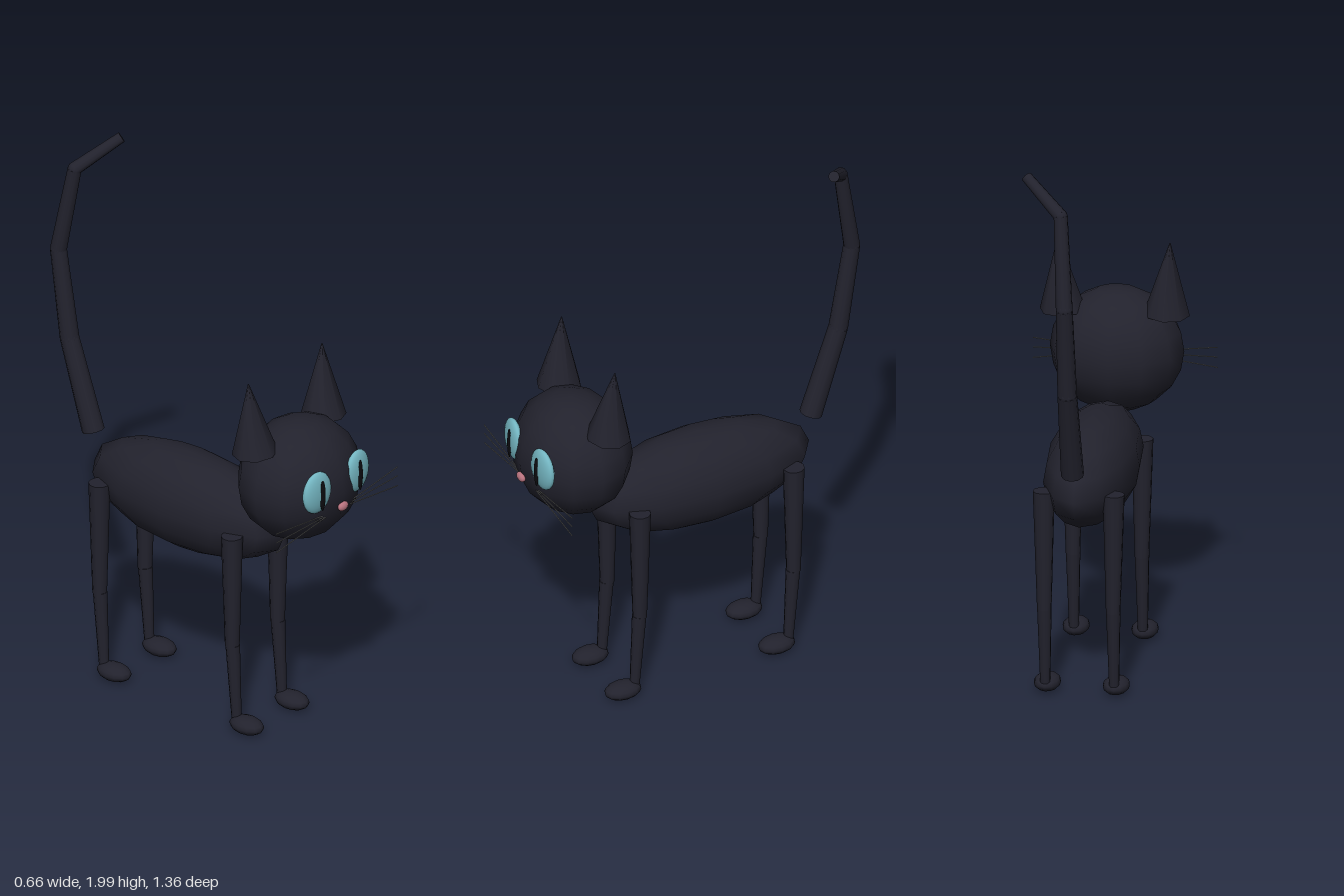
import * as THREE from 'three';

const mat = (name, color) => Object.assign(new THREE.MeshStandardMaterial({ color }), { name });
const V = (x, y, z) => new THREE.Vector3(x, y, z);

export function createModel() {
  const fur = mat('dark fur', 0x22222d);
  const teal = mat('teal iris', 0x74b6c2);
  const black = mat('black pupil', 0x0c0c10);
  const pink = mat('pink nose', 0xb9737f);
  const grey = mat('grey whisker', 0x777777);

  const cat = new THREE.Group();
  cat.name = 'cat';

  function add(name, geometry, material, parent = cat) {
    const mesh = new THREE.Mesh(geometry, material);
    mesh.name = name;
    parent.add(mesh);
    return mesh;
  }

  // Squashed sphere with the given centre and radii
  function ellipsoid(name, material, centre, radii, w = 12, h = 8, parent = cat) {
    const mesh = add(name, new THREE.SphereGeometry(1, w, h), material, parent);
    mesh.position.copy(centre);
    mesh.scale.copy(radii);
    return mesh;
  }

  // Tapered rod running from a to b
  function rod(name, material, a, b, ra, rb, sides = 8, parent = cat) {
    const mesh = add(name, new THREE.CylinderGeometry(rb, ra, a.distanceTo(b), sides), material, parent);
    mesh.position.copy(a).lerp(b, 0.5);
    mesh.quaternion.setFromUnitVectors(V(0, 1, 0), b.clone().sub(a).normalize());
    return mesh;
  }

  // Body and head
  ellipsoid('body', fur, V(0, 0.77, -0.04), V(0.165, 0.185, 0.44));
  ellipsoid('head', fur, V(0, 1.032, 0.465), V(0.24, 0.228, 0.207), 12, 10);
  ellipsoid('nose', pink, V(0, 0.98, 0.668), V(0.025, 0.017, 0.013));

  for (const s of [-1, 1]) {
    const side = s > 0 ? 'left' : 'right';

    // Ear
    rod(side + 'Ear', fur, V(s * 0.186, 1.185, 0.418), V(s * 0.2, 1.455, 0.4), 0.082, 0.002, 8);

    // Eye with slit pupil
    const eye = new THREE.Group();
    eye.name = side + 'Eye';
    eye.position.set(s * 0.109, 1.068, 0.639);
    eye.rotation.y = s * 0.1;
    cat.add(eye);
    ellipsoid('iris', teal, V(0, 0, 0), V(0.066, 0.08, 0.024), 20, 14, eye);
    ellipsoid('pupil', black, V(-s * 0.009, -0.008, 0.021), V(0.013, 0.06, 0.006), 12, 10, eye);

    // Whiskers
    for (const [y0, y1] of [[0.962, 0.992], [0.957, 0.956], [0.952, 0.917]]) {
      rod(side + 'Whisker', grey, V(s * 0.064, y0, 0.642), V(s * 0.33, y1, 0.639), 0.002, 0.002, 5);
    }

    // Legs: thigh, shin and paw
    for (const [label, z] of [['Front', 0.26], ['Hind', -0.353]]) {
      const leg = new THREE.Group();
      leg.name = side + label + 'Leg';
      leg.position.set(s * 0.123, 0, z);
      cat.add(leg);
      rod('upperLeg', fur, V(0, 0.33, 0), V(s * 0.002, 0.77, 0), 0.026, 0.039, 10, leg);
      rod('lowerLeg', fur, V(0, 0.05, 0.02), V(0, 0.335, 0.002), 0.018, 0.026, 10, leg);
      ellipsoid('paw', fur, V(0, 0.038, 0.067), V(0.048, 0.031, 0.07), 12, 8, leg);
    }
  }

  // Tail: tapered bends with rounded joints
  const tail = new THREE.Group();
  tail.name = 'tail';
  cat.add(tail);
  const path = [
    [V(0, 0.882, -0.487), 0.041], [V(0, 1.215, -0.597), 0.035], [V(0.002, 1.55, -0.65), 0.03],
    [V(0.024, 1.88, -0.594), 0.025], [V(0.162, 1.985, -0.494), 0.02],
  ];
  for (let i = 0; i < path.length - 1; i++) {
    const [a, ra] = path[i], [b, rb] = path[i + 1];
    rod('tailSegment', fur, a, b, ra, rb, 10, tail);
    if (i > 0) ellipsoid('tailJoint', fur, a, V(ra, ra, ra), 10, 8, tail);
  }

  return cat;
}
